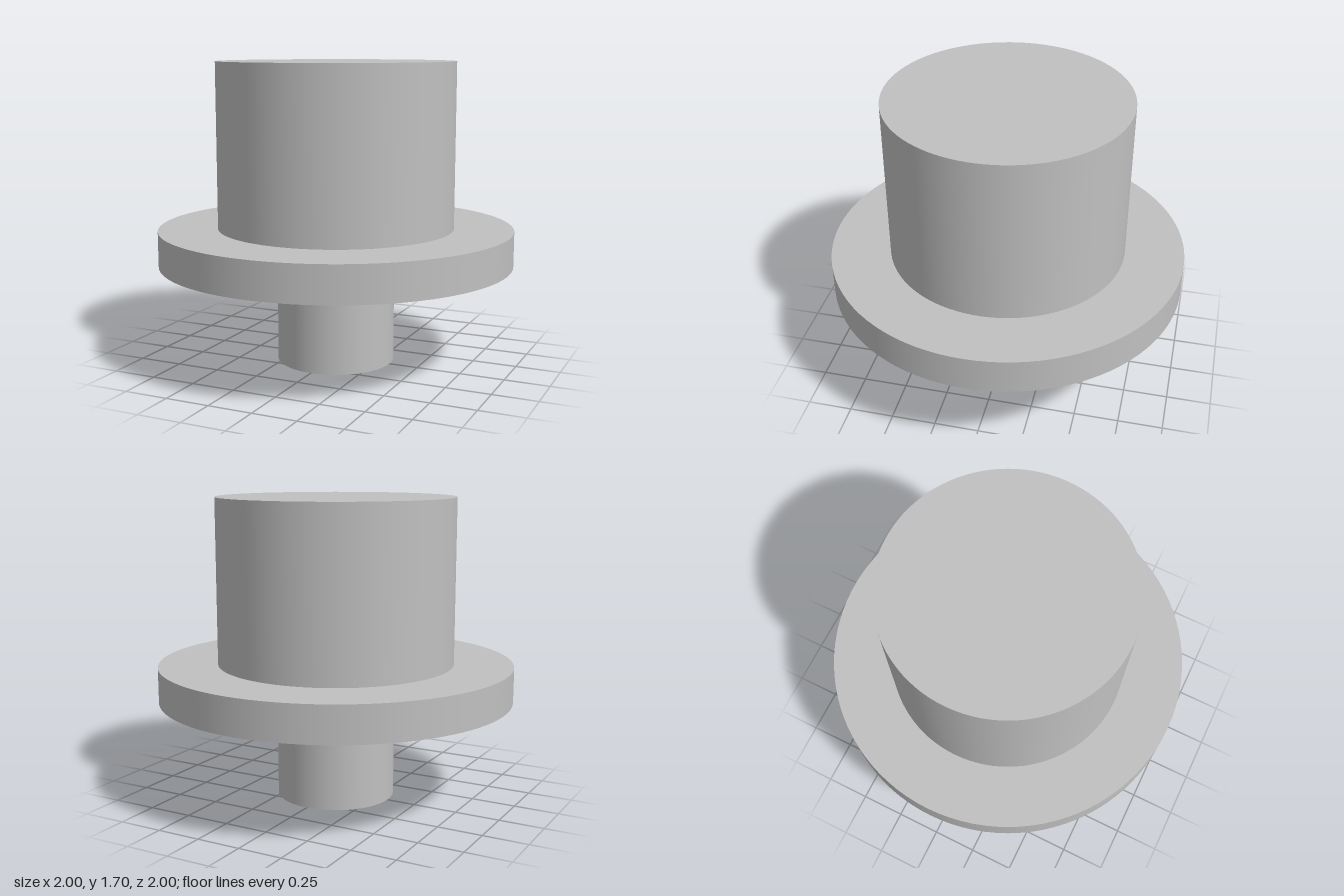
import * as THREE from 'three';

const SEGMENTS = 96;

export function createModel() {
  const model = new THREE.Group();
  model.name = 'flangedShaft';

  const metal = new THREE.MeshStandardMaterial({ color: 0xc0c0c0 });
  metal.name = 'light grey metal';

  // Upright cylinder between two heights
  const addDisc = (name, radius, bottom, top) => {
    const geometry = new THREE.CylinderGeometry(radius, radius, top - bottom, SEGMENTS);
    const mesh = new THREE.Mesh(geometry, metal);
    mesh.name = name;
    mesh.position.y = (bottom + top) / 2;
    model.add(mesh);
  };

  addDisc('lowerPin', 0.333, 0, 0.57); // narrow pin the part stands on
  addDisc('flange', 1, 0.57, 0.77); // wide collar
  addDisc('upperDrum', 0.667, 0.77, 1.7); // thick drum on top

  return model;
}
